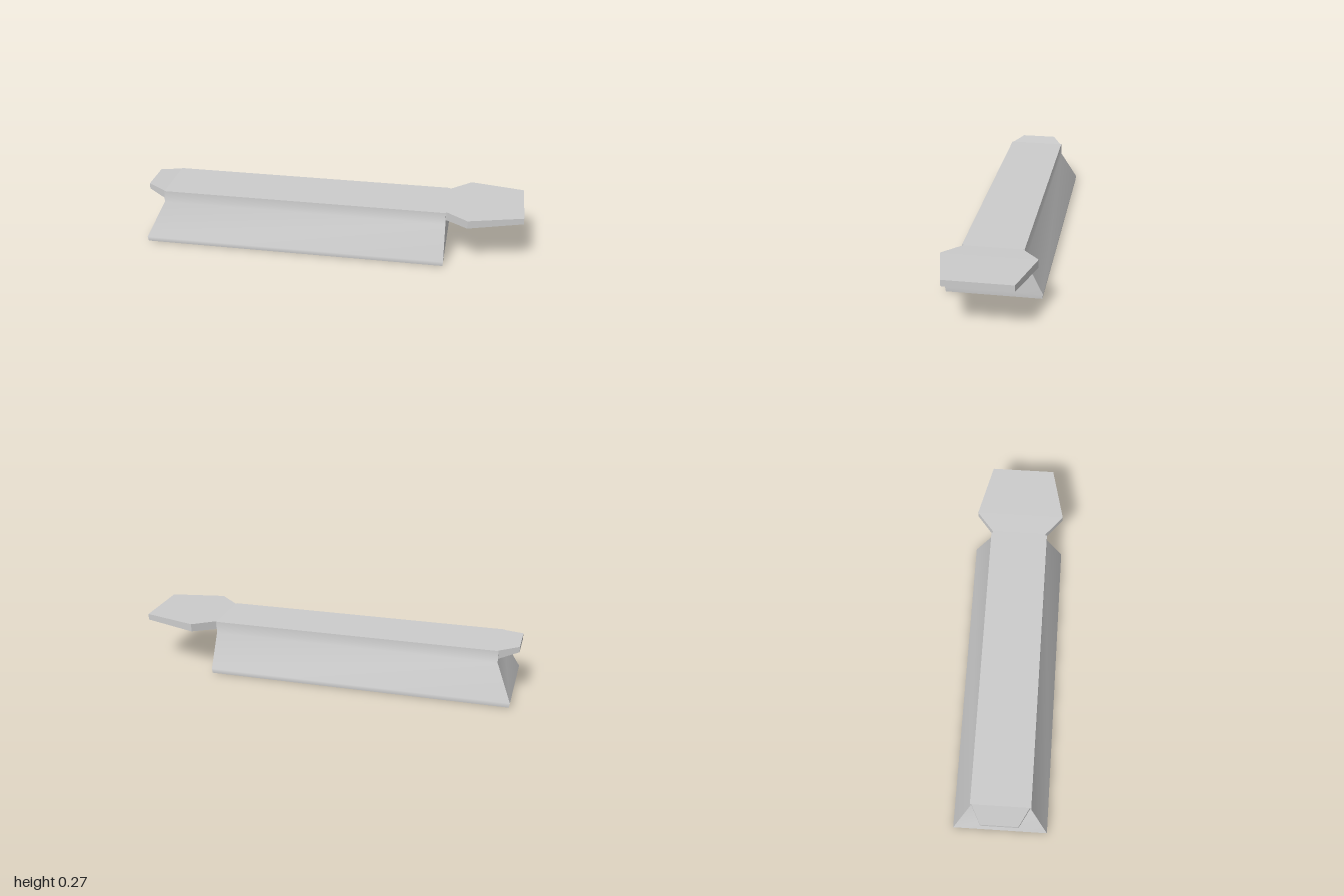
import * as THREE from 'three';

const material = new THREE.MeshStandardMaterial({ color: 0xcccccc, side: THREE.DoubleSide });
const flatMaterial = new THREE.MeshStandardMaterial({ color: 0xcccccc, side: THREE.DoubleSide, flatShading: true });

// Body levels from the floor up: y, half depth, left end, right end
const levels = [
  { y: 0, z: 0.24, x0: -0.978, x1: 0.608 },
  { y: 0.025, z: 0.243, x0: -0.982, x1: 0.61 },
  { y: 0.2, z: 0.156, x0: -0.9, x1: 0.607 },
  { y: 0.262, z: 0.153, x0: -0.9, x1: 0.606 },
];
// Underside of the thick top slab, seen from inside the body
const slabUnderside = { y: 0.215, z: 0.155, x0: -0.9, x1: 0.606 };

// The four corners of a level, anticlockwise seen from above
const corners = ({ y, z, x0, x1 }) => [[x0, y, z], [x1, y, z], [x1, y, -z], [x0, y, -z]];

function meshFrom(name, points, index, mat) {
  const geometry = new THREE.BufferGeometry();
  geometry.setAttribute('position', new THREE.Float32BufferAttribute(points.flat(), 3));
  geometry.setIndex(index);
  geometry.computeVertexNormals();
  const mesh = new THREE.Mesh(geometry, mat);
  mesh.name = name;
  return mesh;
}

// One wall, smooth from bottom to top, sharp against its neighbours
function wall(name, side) {
  const points = [], index = [];
  levels.forEach((level, i) => {
    const c = corners(level);
    points.push(c[side], c[(side + 1) % 4]);
    if (i) {
      const a = 2 * i - 2;
      index.push(a, a + 1, a + 3, a, a + 3, a + 2);
    }
  });
  return meshFrom(name, points, index, material);
}

// Solid flat tab lofted along +x from sections [x, half depth, bottom, top]
function tab(name, sections) {
  const points = [], index = [];
  const quad = (a, b, c, d) => index.push(a, b, c, a, c, d);
  sections.forEach(([x, z, bottom, top], i) => {
    points.push([x, bottom, z], [x, bottom, -z], [x, top, -z], [x, top, z]);
    if (!i) return;
    for (let k = 0; k < 4; k++) {
      const a = 4 * (i - 1) + k, b = 4 * (i - 1) + (k + 1) % 4;
      quad(a, b, b + 4, a + 4);
    }
  });
  const e = 4 * (sections.length - 1);
  quad(3, 2, 1, 0);
  quad(e, e + 1, e + 2, e + 3);
  return meshFrom(name, points, index, flatMaterial);
}

export function createModel() {
  const group = new THREE.Group();
  group.name = 'trough';

  // Hollow body, open underneath
  ['frontWall', 'spadeEndWall', 'backWall', 'shortEndWall'].forEach((name, i) => group.add(wall(name, i)));

  // Top slab: upper face and underside
  group.add(meshFrom('slabTop', corners(levels[3]), [0, 1, 2, 0, 2, 3], flatMaterial));
  group.add(meshFrom('slabUnderside', corners(slabUnderside), [0, 2, 1, 0, 3, 2], flatMaterial));

  // Tabs that rise slightly towards their tips
  group.add(tab('spadeTab', [
    [0.606, 0.146, 0.217, 0.262],
    [0.614, 0.146, 0.217, 0.262],
    [0.72, 0.235, 0.226, 0.267],
    [1, 0.168, 0.241, 0.273],
  ]));
  // The short tab bends down inside the body
  group.add(tab('shortTab', [
    [-1, 0.095, 0.244, 0.273],
    [-0.9, 0.146, 0.217, 0.262],
    [-0.86, 0.152, 0.15, 0.21],
  ]));
  return group;
}
